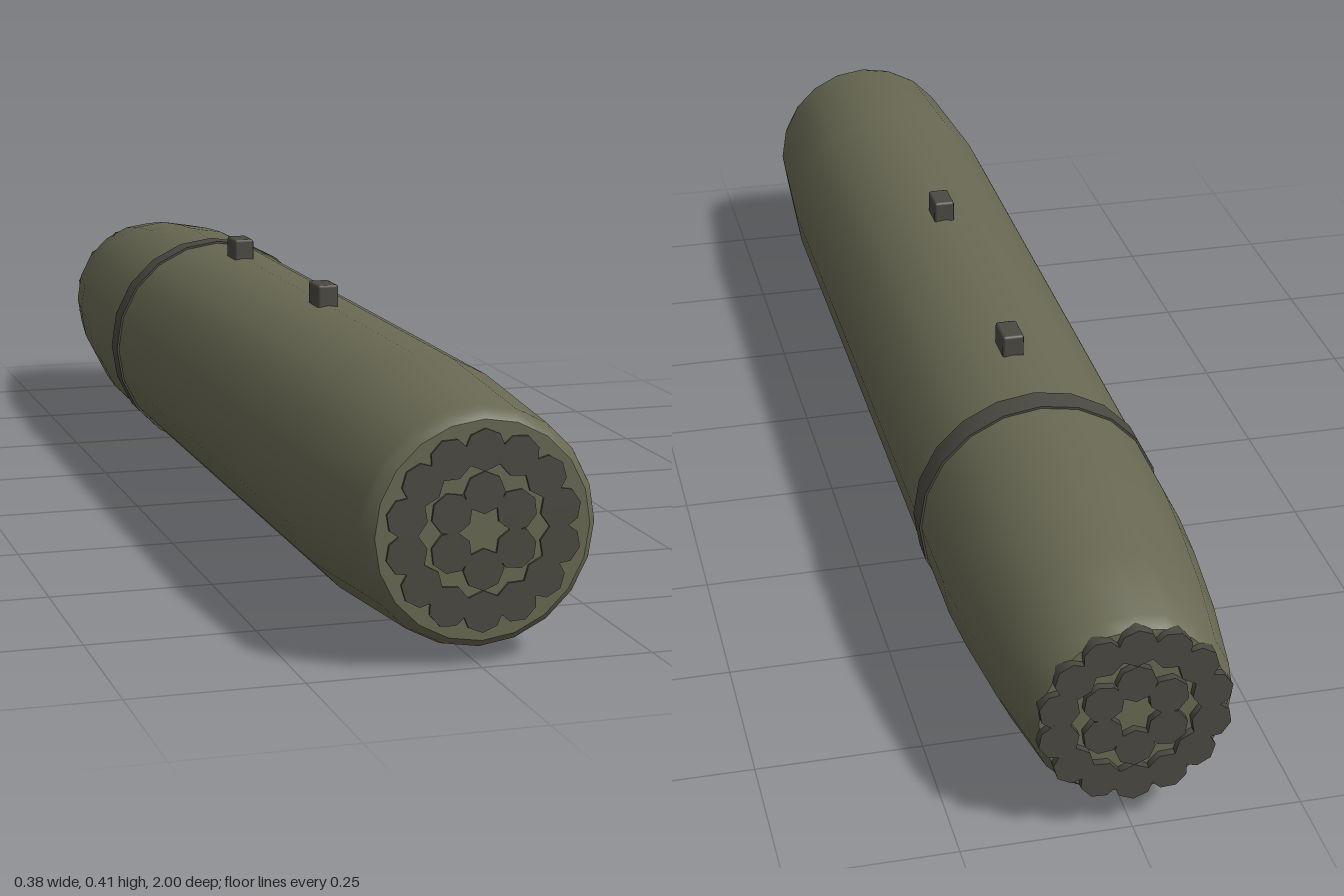
import * as THREE from 'three';
import { toCreasedNormals } from 'three/addons/utils/BufferGeometryUtils.js';
import { RoundedBoxGeometry } from 'three/addons/geometries/RoundedBoxGeometry.js';

const AXIS_Y = 0.191;
const SIDES = 20;

export function createModel() {
  const olive = new THREE.MeshStandardMaterial({ color: 0x686853 });
  olive.name = 'olive paint';
  const dark = new THREE.MeshStandardMaterial({ color: 0x4a4941 });
  dark.name = 'dark metal';

  const model = new THREE.Group();
  model.name = 'launcherPod';

  const add = (name, geometry, material, x, y, z, parent = model) => {
    const mesh = new THREE.Mesh(geometry, material);
    mesh.name = name;
    mesh.position.set(x, y, z);
    parent.add(mesh);
    return mesh;
  };

  // Shell turned around the z axis, from rear cap to front cap: [radius, z]
  const profile = [
    [0, -0.988], [0.136, -0.988], [0.148, -0.97], [0.168, -0.84], [0.182, -0.7],
    [0.1875, -0.61], [0.1875, 0.7], [0.169, 0.97], [0.165, 0.985], [0.154, 0.996], [0, 0.996],
  ].map(([r, z]) => new THREE.Vector2(r, z));
  const shell = new THREE.LatheGeometry(profile, SIDES).rotateX(Math.PI / 2);
  add('shell', toCreasedNormals(shell, 0.6), olive, 0, AXIS_Y, 0);

  // Joint band
  const band = new THREE.CylinderGeometry(0.191, 0.191, 0.045, SIDES).rotateX(Math.PI / 2);
  add('jointBand', toCreasedNormals(band, 0.6), dark, 0, AXIS_Y, -0.434);

  // Two rings of tube ends on each end cap
  const addTubes = (name, z, depth) => {
    const group = new THREE.Group();
    group.name = name;
    group.position.set(0, AXIS_Y, z);
    model.add(group);
    const tube = new THREE.CylinderGeometry(0.0295, 0.0295, depth, 8).rotateX(Math.PI / 2);
    const geometry = toCreasedNormals(tube, 0.9);
    for (const [count, radius] of [[14, 0.1125], [6, 0.0535]]) {
      for (let i = 0; i < count; i++) {
        const a = (i / count) * Math.PI * 2;
        const end = add('tubeEnd', geometry, dark, Math.sin(a) * radius, Math.cos(a) * radius, 0, group);
        end.rotation.z = -a;
      }
    }
  };
  addTubes('frontTubes', 0.995, 0.01);
  addTubes('rearTubes', -0.99, 0.02);

  // Suspension lugs
  for (const [name, z] of [['frontLug', 0.253], ['rearLug', -0.253]]) {
    add(name, new RoundedBoxGeometry(0.034, 0.04, 0.056, 1, 0.004), dark, 0, 0.391, z);
  }

  return model;
}
